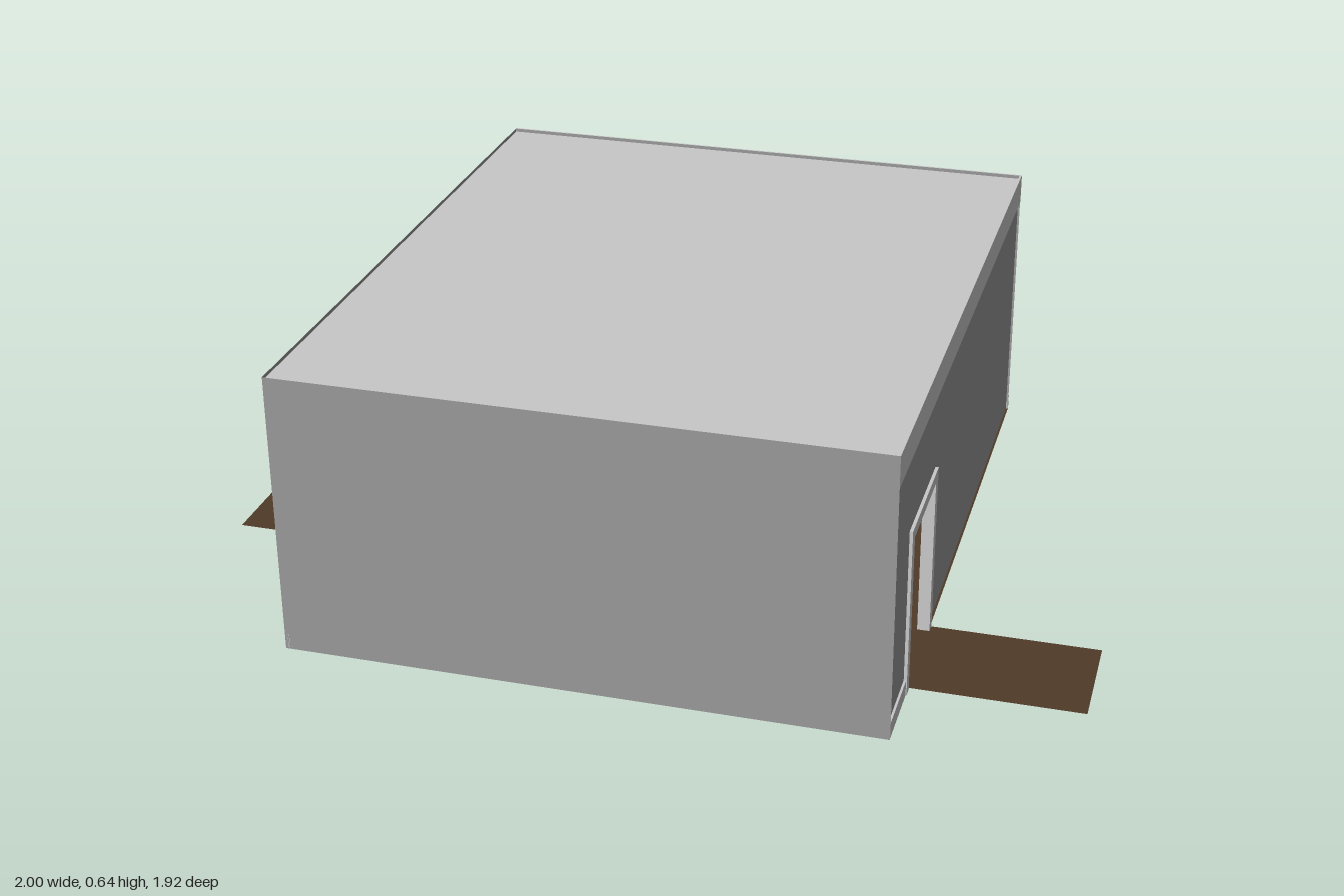
import * as THREE from 'three';

const mat = (name, color, side = THREE.FrontSide) => {
  const m = new THREE.MeshStandardMaterial({ color, side });
  m.name = name;
  return m;
};

export function createModel() {
  const wallGrey = mat('wall grey', 0x989898, THREE.DoubleSide);
  const trimGrey = mat('light grey', 0xc8c8c8, THREE.DoubleSide);
  const brown = mat('dark wood', 0x4f3a28, THREE.DoubleSide);
  const white = mat('white', 0xf4f4f4);
  const rugGrey = mat('rug grey', 0xa8a8a8);

  const room = new THREE.Group();
  room.name = 'room';
  const X0 = -0.68, X1 = 0.63, Z0 = -0.58, Z1 = 0.96, H = 0.64, F = 0.004;

  const add = (name, geo, material) => {
    const m = new THREE.Mesh(geo, material);
    m.name = name;
    room.add(m);
    return m;
  };
  // Box given by its limits on each axis
  const box = (name, material, x0, x1, y0, y1, z0, z1) =>
    add(name, new THREE.BoxGeometry(x1 - x0, y1 - y0, z1 - z0), material)
      .position.set((x0 + x1) / 2, (y0 + y1) / 2, (z0 + z1) / 2);
  // Level sheet
  const sheet = (name, material, x0, x1, z0, z1, y) =>
    add(name, new THREE.PlaneGeometry(x1 - x0, z1 - z0).rotateX(-Math.PI / 2), material)
      .position.set((x0 + x1) / 2, y, (z0 + z1) / 2);
  // Upright thin wall, with an optional doorway [start, end, height]
  const wall = (name, a, b, height, door) => {
    const s = new THREE.Shape();
    s.moveTo(a, 0).lineTo(a, height).lineTo(b, height).lineTo(b, 0);
    if (door) s.lineTo(door[1], 0).lineTo(door[1], door[2]).lineTo(door[0], door[2]).lineTo(door[0], 0);
    s.closePath();
    return add(name, new THREE.ShapeGeometry(s), wallGrey);
  };
  const sideWall = (name, x, z0, z1, height, door) => {
    const w = wall(name, -z1, -z0, height, door && [-door[1], -door[0], door[2]]);
    w.rotation.y = Math.PI / 2;
    w.position.x = x;
  };

  // Floor and the three paths outside the doorways
  sheet('floor', brown, X0, X1, Z0, Z1, F);
  sheet('rightPath', brown, -1, X0, 0.29, 0.5, F);
  sheet('leftPath', brown, X1, 1, 0.52, 0.77, F);
  sheet('backPath', brown, -0.14, 0.1, -0.96, Z0, F);

  // Walls and roof
  const wx = X1 - 0.005, wz = Z0 + 0.005;
  wall('frontWall', X0, X1, H).position.z = Z1;
  wall('backWall', X0, X1, H, [-0.14, 0.1, 0.385]).position.z = wz;
  sideWall('leftWall', wx, Z0, Z1, H, [0.54, 0.775, 0.365]);
  sideWall('rightWall', X0, Z0, Z1, H, [0.29, 0.5, 0.375]);
  sheet('roof', trimGrey, X0, X1, Z0, Z1, H - 0.008);

  // Open porch at the back
  for (const x of [-0.14, 0.1]) sideWall('porchSide', x, -0.81, Z0, 0.385);
  sheet('porchRoof', wallGrey, -0.14, 0.1, -0.81, Z0, 0.385);

  // Crown moulding and skirting boards
  box('leftCrown', trimGrey, wx, X1, 0.57, H, Z0, Z1);
  box('backCrown', trimGrey, X0, X1, 0.57, H, Z0, wz);
  box('leftSkirting', trimGrey, wx, X1, F, 0.04, 0.8, Z1);
  box('backSkirting', trimGrey, X0, -0.14, F, 0.04, Z0, wz);
  box('backSkirting', trimGrey, 0.1, X1, F, 0.04, Z0, wz);
  box('innerSkirting', trimGrey, X0 + 0.002, X0 + 0.01, F, 0.035, 0.52, Z1);

  // Door casings
  const casing = (name, x0, x1, z0, z1, top, w) => {
    box(name, trimGrey, x0, x1, F, top, z0, z0 + w);
    box(name, trimGrey, x0, x1, F, top, z1 - w, z1);
    box(name, trimGrey, x0, x1, top - w, top, z0 + w, z1 - w);
  };
  casing('leftDoorCasing', wx - 0.02, X1 + 0.002, 0.515, 0.8, 0.39, 0.025);
  casing('rightDoorCasing', X0 + 0.001, X0 + 0.012, 0.27, 0.52, 0.395, 0.02);

  // Framed panels on the inner face of the right wall
  for (const z of [0.555, 0.66, 0.765]) {
    box('wallPanel', brown, X0 + 0.002, X0 + 0.006, 0.2, 0.35, z - 0.045, z + 0.045);
    box('wallPanelFace', trimGrey, X0 + 0.006, X0 + 0.01, 0.206, 0.344, z - 0.039, z + 0.039);
  }

  // Bench with a white seat, and a small bowl standing on it
  box('benchSeat', white, -0.15, 0.11, 0.04, 0.135, 0.535, 0.78);
  for (const x of [-0.12, 0.08])
    for (const z of [0.55, 0.765]) {
      add('benchLeg', new THREE.CylinderGeometry(0.01, 0.01, 0.045, 12), trimGrey)
        .position.set(x, 0.0225, z);
    }
  add('bowl', new THREE.SphereGeometry(0.02, 16, 10), brown).position.set(-0.02, 0.153, 0.67);

  // Round rug let into the floor
  add('rug', new THREE.CylinderGeometry(0.185, 0.185, 0.007, 48), rugGrey)
    .position.set(-0.37, 0.0035, -0.125);

  // Small round plate on the back wall
  add('wallPlate', new THREE.CylinderGeometry(0.03, 0.03, 0.007, 24).rotateX(Math.PI / 2), trimGrey)
    .position.set(-0.56, 0.32, wz + 0.004);

  return room;
}
